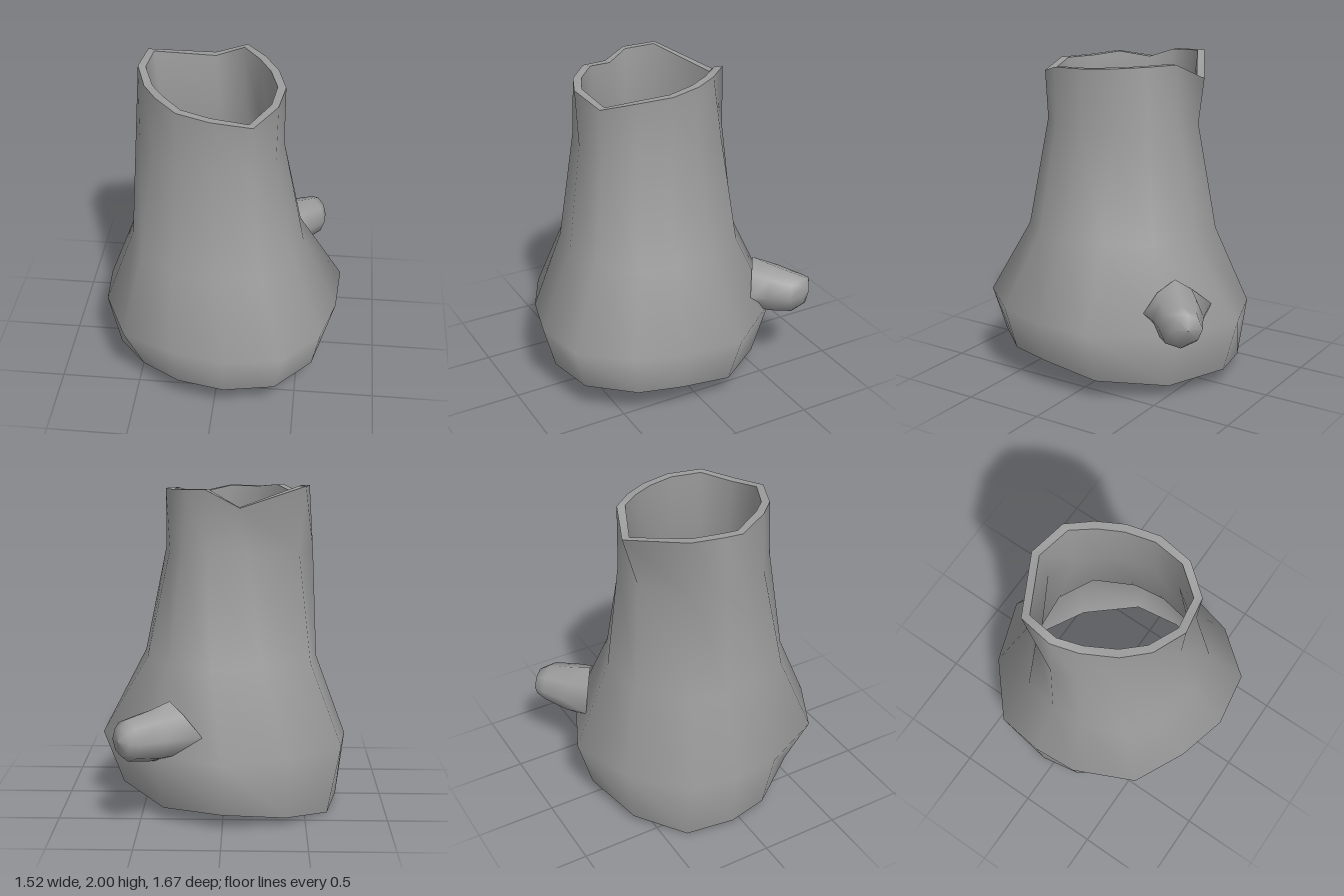
import * as THREE from 'three';

// Joins rings of [x, y, z] points (equal counts) into one smooth open skin.
function loft(rings) {
  const n = rings[0].length, index = [];
  for (let r = 0; r < rings.length - 1; r++) {
    const a = r * n, b = a + n;
    for (let i = 0; i < n; i++) {
      const j = (i + 1) % n;
      index.push(a + i, b + i, b + j, a + i, b + j, a + j);
    }
  }
  const geometry = new THREE.BufferGeometry();
  geometry.setAttribute('position', new THREE.Float32BufferAttribute(rings.flat(2), 3));
  geometry.setIndex(index);
  geometry.computeVertexNormals();
  return geometry;
}

// Cross-sections as [x, z] pairs, starting at the back and passing over +x
const foot = [[-.38, -.6], [0, -.7], [.36, -.52], [.635, -.17], [.66, .18], [.6, .45], [.38, .7],
  [.07, .76], [-.22, .69], [-.47, .49], [-.67, .18], [-.71, -.07], [-.64, -.36]];
const belly = [[-.4, -.65], [0, -.79], [.42, -.6], [.757, -.18], [.735, .18], [.65, .5], [.42, .78],
  [.07, .835], [-.25, .75], [-.57, .59], [-.74, .21], [-.76, -.07], [-.72, -.37]];
const waist = [[-.25, -.49], [.07, -.52], [.33, -.39], [.48, -.11], [.51, .13], [.46, .36], [.28, .57],
  [.01, .61], [-.26, .55], [-.465, .42], [-.56, .16], [-.575, -.04], [-.53, -.26]];
const neck = [[-.15, -.41], [.09, -.415], [.25, -.31], [.335, -.1], [.37, .1], [.335, .31], [.2, .47],
  [-.02, .51], [-.24, .45], [-.39, .31], [-.5, .11], [-.545, -.04], [-.455, -.21]];
const rim = [[-.1, -.475], [.105, -.4], [.225, -.265], [.315, -.11], [.37, .09], [.34, .31], [.21, .48],
  [-.03, .525], [-.23, .44], [-.365, .31], [-.46, .11], [-.52, -.045], [-.49, -.255]];

// Uneven heights of the lower and upper edges
const footY = [.05, .1, .08, .13, .19, .2, .2, .2, .19, .14, .05, .03, 0];
const bellyY = [.43, .43, .44, .46, .46, .47, .48, .48, .47, .45, .43, .43, .43];
const rimY = [1.89, 1.99, 1.98, 1.97, 1.96, 1.95, 1.9, 1.95, 1.95, 1.97, 1.94, 1.99, 2];

const section = (points, y) => points.map(([x, z], i) => [x, Array.isArray(y) ? y[i] : y, z]);

// Moves a ring toward its centre by the wall thickness
function inset(ring, wall) {
  const cx = ring.reduce((s, p) => s + p[0], 0) / ring.length;
  const cz = ring.reduce((s, p) => s + p[2], 0) / ring.length;
  return ring.map(([x, y, z]) => {
    const k = 1 - wall / Math.hypot(x - cx, z - cz);
    return [cx + (x - cx) * k, y, cz + (z - cz) * k];
  });
}

export function createModel() {
  const model = new THREE.Group();
  const material = new THREE.MeshStandardMaterial({ color: 0x9c9c9c });
  const add = (name, rings) => {
    const mesh = new THREE.Mesh(loft(rings), material);
    mesh.name = name;
    model.add(mesh);
  };

  // Hollow trunk: outside, inside (narrower below the rim) and the two cut edges
  const outer = [section(foot, footY), section(belly, bellyY), section(waist, .925),
    section(neck, 1.6), section(rim, rimY)];
  const bore = section(rim.map(([x, z]) => [x + .02, z + .01]), 1.6);
  const inner = [inset(outer[4], .05), inset(bore, .07), inset(outer[2], .08),
    inset(outer[1], .085), inset(outer[0], .08)];
  add('trunkOutside', outer);
  add('trunkInside', inner);
  add('upperEdge', [outer[4], inner[0]]);
  add('lowerEdge', [inner[4], outer[0]]);

  // Branch stub: ragged flared root, taper and bevelled blunt end
  const ragged = [1.05, .85, .95, .8, 1.25, .85, .9, .8];
  const even = ragged.map(() => 1);
  const branchRing = (x, y, z, r, turn, scale) => scale.map((s, i) => {
    const a = i / scale.length * Math.PI * 2, side = r * s * Math.cos(a);
    return [x + side * Math.cos(turn), y + r * s * Math.sin(a), z + side * Math.sin(turn)];
  });
  add('branchStub', [
    branchRing(.315, .565, -.53, .195, .6, ragged),
    branchRing(.43, .56, -.62, .155, .8, even),
    branchRing(.55, .56, -.71, .128, .86, even),
    branchRing(.58, .57, -.77, .09, .86, even),
    branchRing(.595, .57, -.785, .001, .86, even),
  ]);
  return model;
}
